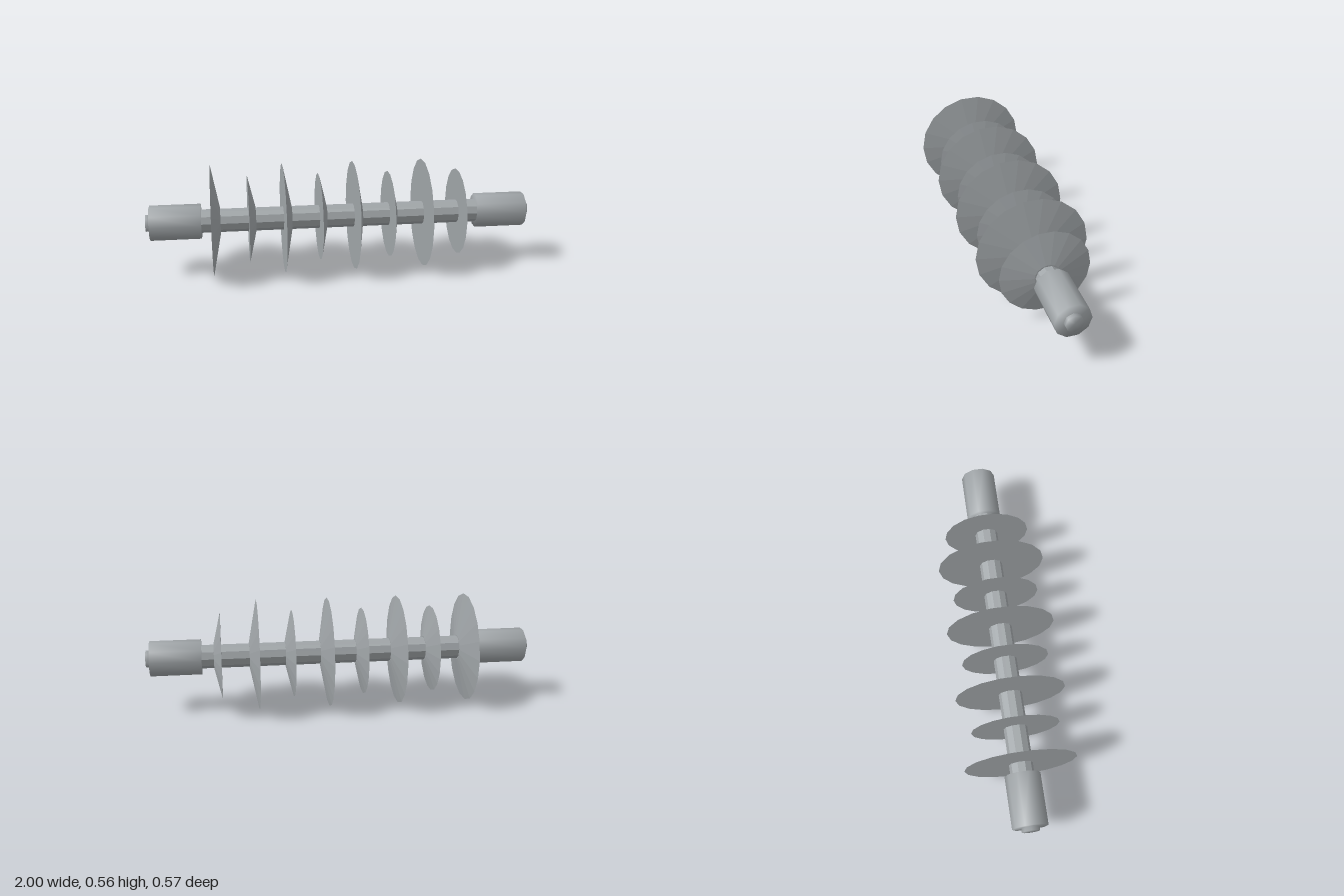
import * as THREE from 'three';
import { mergeVertices } from 'three/addons/utils/BufferGeometryUtils.js';

const AXIS_Y = 0.28;

// Cylinder lying along x, from x0 (radius r0) to x1 (radius r1).
function bar(x0, r0, x1, r1, sides, smooth) {
  let g = new THREE.CylinderGeometry(r1, r0, x1 - x0, sides);
  g.rotateZ(-Math.PI / 2);
  g.translate((x0 + x1) / 2, AXIS_Y, 0);
  g.deleteAttribute('uv');
  g.deleteAttribute('normal');
  g = smooth ? mergeVertices(g, 1e-5) : g.toNonIndexed();
  g.computeVertexNormals();
  return g;
}

export function createModel() {
  const model = new THREE.Group();
  model.name = 'ribbedInsulator';
  const grey = new THREE.MeshStandardMaterial({ color: 0xa0a5a8 });
  grey.name = 'grey';

  const add = (name, geometry) => {
    const mesh = new THREE.Mesh(geometry, grey);
    mesh.name = name;
    model.add(mesh);
  };

  // Faceted core rod
  add('coreRod', bar(-0.73, 0.06, 0.73, 0.06, 10, false));

  // Alternating large and small sheds: flat behind, conical towards +x
  for (let i = 0; i < 8; i++) {
    const large = i % 2 === 0;
    const x = -0.644 + i * 0.1833;
    const half = large ? 0.0215 : 0.019;
    add(large ? 'largeShed' : 'smallShed',
      bar(x - half, large ? 0.284 : 0.226, x + half, 0.065, 18, false));
  }

  // Smooth end fittings with a small stud at each tip
  for (const [side, s] of [['left', 1], ['right', -1]]) {
    const span = (a, b) => (s > 0 ? [a, b] : [-b, -a]);
    const [c0, c1] = span(0.72, 0.98);
    add(side + 'EndCap', bar(c0, 0.09, c1, 0.09, 10, true));
    const [t0, t1] = span(0.96, 1);
    add(side + 'EndStud', bar(t0, 0.045, t1, 0.045, 8, true));
  }
  return model;
}
